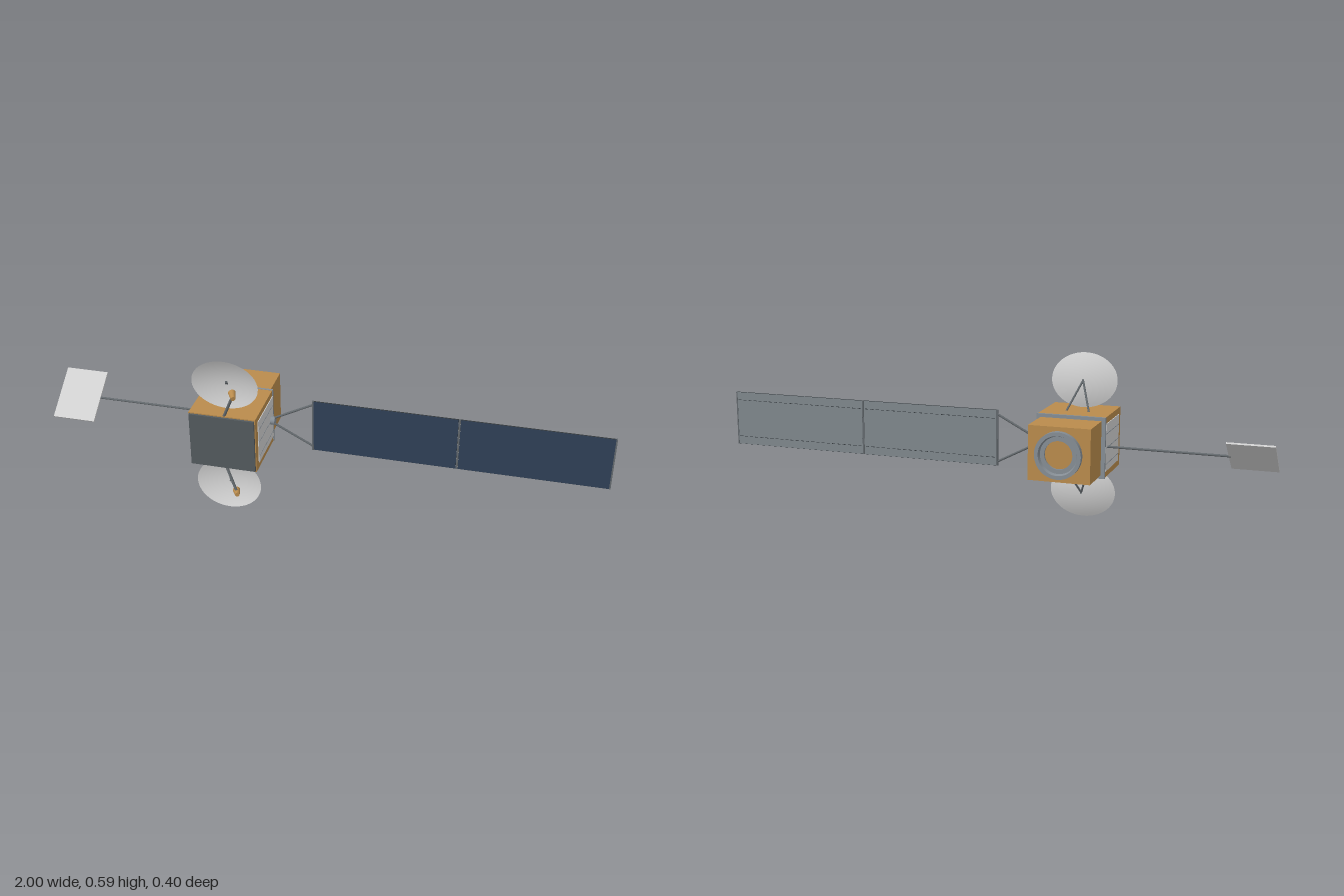
import * as THREE from 'three';

const mat = (name, color, side = THREE.FrontSide) => {
  const m = new THREE.MeshStandardMaterial({ color, side });
  m.name = name;
  return m;
};

export function createModel() {
  const gold = mat('gold foil', 0xb98b4c);
  const white = mat('radiator white', 0xd0d0d0);
  const dishMat = mat('dish white', 0xcfcfcf, THREE.DoubleSide);
  const steel = mat('steel grey', 0x858d94);
  const steelOpen = mat('nozzle grey', 0x858d94, THREE.DoubleSide);
  const dark = mat('dark panel', 0x535a5e);
  const strut = mat('strut grey', 0x63696d);
  const navy = mat('solar cell navy', 0x2f4057);
  const backGrey = mat('array back grey', 0x7f878c);
  const edge = mat('array edge', 0x33393d);

  const model = new THREE.Group();
  model.name = 'satellite';
  const CX = -0.315, CY = 0.2975, AZ = -0.006;

  const add = (name, geo, material, parent = model) => {
    const mesh = new THREE.Mesh(geo, material);
    mesh.name = name;
    parent.add(mesh);
    return mesh;
  };
  // box given by its minimum and maximum on each axis
  const box = (name, material, x0, x1, y0, y1, z0, z1, parent) => {
    const m = add(name, new THREE.BoxGeometry(x1 - x0, y1 - y0, z1 - z0), material, parent);
    m.position.set((x0 + x1) / 2, (y0 + y1) / 2, (z0 + z1) / 2);
    return m;
  };
  // tapered rod from a to b
  const rod = (name, material, a, b, ra, rb = ra, sides = 12, parent = model) => {
    const p = new THREE.Vector3(...a), q = new THREE.Vector3(...b);
    const m = add(name, new THREE.CylinderGeometry(rb, ra, p.distanceTo(q), sides), material, parent);
    m.position.copy(p).add(q).multiplyScalar(0.5);
    m.quaternion.setFromUnitVectors(new THREE.Vector3(0, 1, 0), q.sub(p).normalize());
    return m;
  };
  const group = (name) => {
    const g = new THREE.Group();
    g.name = name;
    model.add(g);
    return g;
  };

  // Main bus
  box('mainBody', gold, CX - 0.119, CX + 0.119, 0.193, 0.402, -0.034, 0.175);
  box('bodyFrame', steel, CX - 0.121, CX + 0.121, 0.192, 0.403, -0.043, -0.034);
  box('rearBody', gold, CX - 0.107, CX + 0.107, 0.204, 0.391, -0.181, -0.043);
  box('frontPanel', dark, CX - 0.116, CX + 0.116, 0.198, 0.398, 0.175, 0.183);

  // Radiators with dividing lines on both sides
  for (const s of [-1, 1]) {
    const g = group(s > 0 ? 'leftRadiator' : 'rightRadiator');
    const x = CX + s * 0.1195;
    box('radiatorPlate', white, x - 0.002, x + 0.002, 0.215, 0.38, -0.034, 0.148, g);
    for (const y of [0.241, 0.297, 0.346])
      box('radiatorLine', steel, x - 0.003, x + 0.003, y - 0.0012, y + 0.0012, -0.034, 0.146, g);
  }

  // Rear ring, open in the middle
  const ring = add('rearRing', new THREE.LatheGeometry(
    [[0.08, 0], [0.08, 0.02], [0.08, 0.02], [0.067, 0.02], [0.067, 0.02], [0.063, 0.008], [0.063, 0.008], [0.048, 0.008], [0.048, 0.008], [0.048, 0]]
      .map(([r, h]) => new THREE.Vector2(r, h)), 40), steelOpen);
  ring.rotation.x = -Math.PI / 2;
  ring.position.set(CX, CY, -0.18);

  // Upper and lower antennas
  for (const s of [1, -1]) {
    const g = group(s > 0 ? 'upperAntenna' : 'lowerAntenna');
    const y = (d) => CY + s * d;

    // Oval dish, tilted towards its feed
    const profile = [];
    for (let i = 0; i <= 10; i++) {
      const t = i / 10;
      profile.push(new THREE.Vector2(Math.max(0.096 * t, 0.0001), 0.021 * (t * t - 1)));
    }
    const dish = add('dish', new THREE.LatheGeometry(profile, 48), dishMat, g);
    dish.scale.x = 0.118 / 0.096;
    dish.rotation.x = Math.PI / 2 + s * 0.104;
    dish.position.set(CX, y(0.2), 0.128);
    rod('dishCentre', strut, [CX, y(0.202), 0.105], [CX, y(0.2015), 0.111], 0.004, 0.004, 12, g);

    // V struts behind the dish
    for (const k of [-1, 1])
      rod('dishStrut', strut, [CX + k * 0.04, y(0.103), 0.043], [CX, y(0.201), 0.109], 0.0035, 0.0035, 10, g);

    // Feed horn on its arm
    rod('feedArm', strut, [-0.309, y(0.1), 0.168], [-0.27, y(0.192), 0.183], 0.005, 0.005, 12, g);
    rod('feedHorn', gold, [-0.262, y(0.194), 0.2], [-0.276, y(0.198), 0.167], 0.008, 0.013, 20, g);
  }

  // Solar array: hub, yoke and two panels
  const array = group('solarArray');
  rod('arrayHub', steel, [-0.197, CY, AZ], [-0.178, CY, AZ], 0.015, 0.015, 20, array);
  for (const s of [-1, 1])
    rod('yokeArm', strut, [-0.184, CY + s * 0.01, AZ], [-0.04, CY + s * 0.085, AZ], 0.004, 0.004, 10, array);
  const y0 = 0.198, y1 = 0.397;
  for (const [x0, x1] of [[-0.037, 0.471], [0.479, 0.996]]) {
    box('panelCore', edge, x0, x1, y0, y1, AZ - 0.002, AZ + 0.002, array);
    box('panelCells', navy, x0, x1, y0 + 0.001, y1 - 0.001, AZ + 0.002, AZ + 0.003, array);
    box('panelBack', backGrey, x0, x1, y0 + 0.001, y1 - 0.001, AZ - 0.003, AZ - 0.002, array);
    // dashed seams on the back
    const n = 24, step = (x1 - x0) / n;
    for (const y of [y0 + 0.03, y1 - 0.03])
      for (let i = 0; i < n; i++)
        box('backSeam', edge, x0 + step * (i + 0.2), x0 + step * (i + 0.8), y - 0.001, y + 0.001, AZ - 0.0036, AZ - 0.003, array);
  }
  for (const x of [-0.04, 0.475, 0.998])
    box('panelHinge', strut, x - 0.003, Math.min(x + 0.003, 1), y0, y1, AZ - 0.004, AZ + 0.004, array);

  // Trim sail on its boom
  const sail = group('trimSail');
  rod('boom', strut, [-0.43, CY, -0.009], [-0.85, CY, -0.009], 0.004, 0.004, 10, sail);
  const plate = add('sailPlate', new THREE.BoxGeometry(0.157, 0.006, 0.198), white, sail);
  plate.rotation.x = Math.atan2(0.12, 0.16);
  plate.position.set(-0.9215, CY + 0.002, -0.01);

  return model;
}
